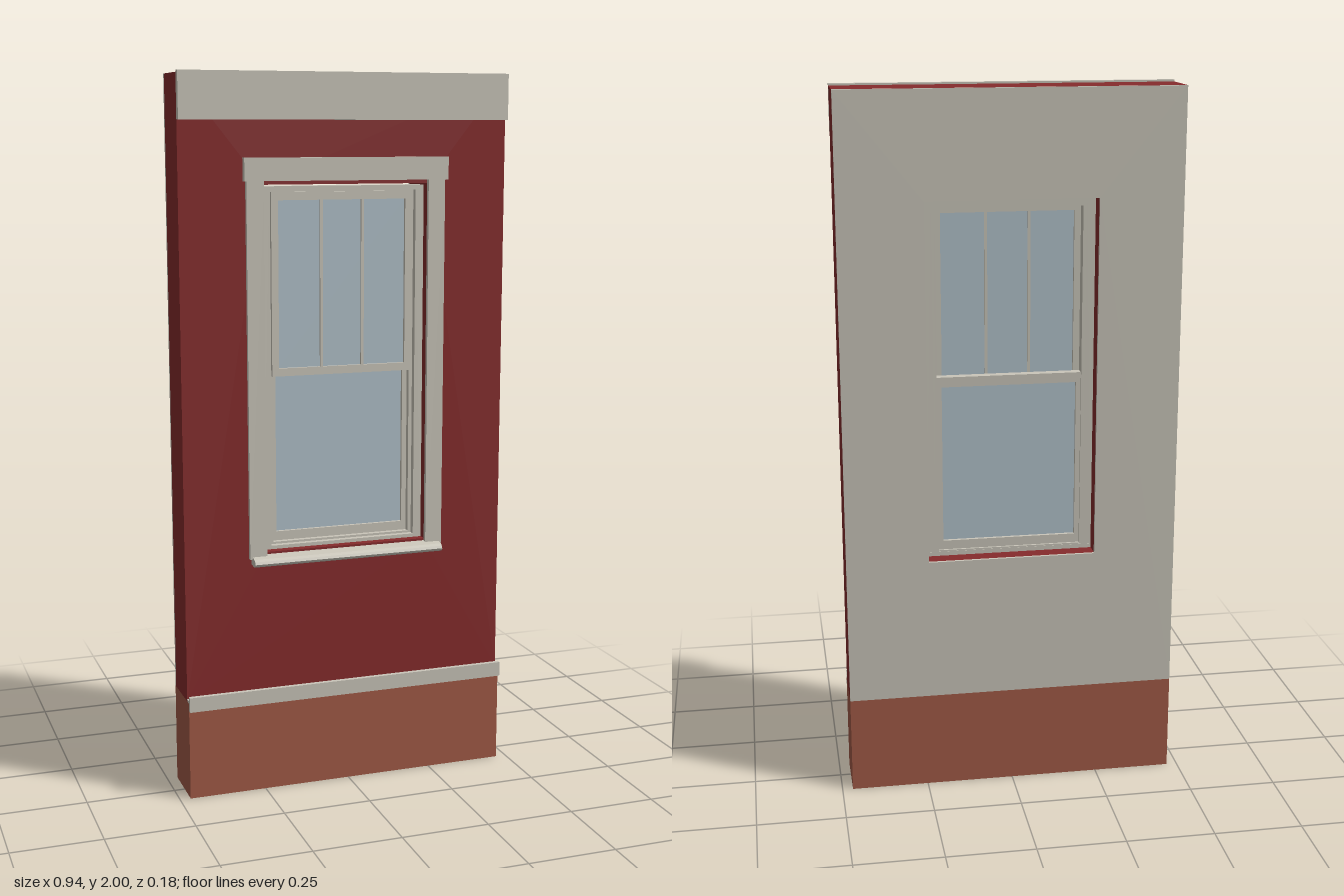
import * as THREE from 'three';

export function createModel() {
  const root = new THREE.Group();
  root.name = 'wallWithWindow';

  const material = (name, color) => {
    const m = new THREE.MeshStandardMaterial({ color });
    m.name = name;
    return m;
  };
  const red = material('red siding', 0x862b2c);
  const trim = material('beige trim', 0xcac6ba);
  const brick = material('brick', 0xa25b47);
  const glass = material('pale glass', 0xb2c2cb);

  const add = (name, geometry, mat, parent = root) => {
    const mesh = new THREE.Mesh(geometry, mat);
    mesh.name = name;
    parent.add(mesh);
    return mesh;
  };

  // Box given by its limits on each axis
  const box = (name, mat, x0, x1, y0, y1, z0, z1, parent) => {
    const g = new THREE.BoxGeometry(x1 - x0, y1 - y0, z1 - z0);
    g.translate((x0 + x1) / 2, (y0 + y1) / 2, (z0 + z1) / 2);
    return add(name, g, mat, parent);
  };

  // Rectangular panel, symmetric in x, with a rectangular hole
  const frame = (name, mat, [w, y0, y1], [hw, hy0, hy1], z0, z1, parent) => {
    const corners = (a, b, c) => [[-a, b], [a, b], [a, c], [-a, c]].map((p) => new THREE.Vector2(...p));
    const shape = new THREE.Shape(corners(w, y0, y1));
    shape.holes.push(new THREE.Path(corners(hw, hy0, hy1).reverse()));
    const g = new THREE.ExtrudeGeometry(shape, { depth: z1 - z0, bevelEnabled: false });
    g.translate(0, 0, z0);
    return add(name, g, mat, parent);
  };

  // Profile of [z, y] points swept along x
  const sweep = (name, mat, points, halfWidth, parent) => {
    const shape = new THREE.Shape(points.map(([z, y]) => new THREE.Vector2(-z, y)));
    const g = new THREE.ExtrudeGeometry(shape, { depth: halfWidth * 2, bevelEnabled: false });
    g.translate(0, 0, -halfWidth);
    g.rotateY(Math.PI / 2);
    // shape x becomes -z after the turn, so z is restored
    return add(name, g, mat, parent);
  };

  const W = 0.47;
  const opening = [0.237, 0.69, 1.703];

  // Wall layers
  box('brickBase', brick, -W, W, 0, 0.28, -0.09, 0.07);
  frame('sidingWall', red, [W, 0.28, 1.995], opening, -0.082, 0.05);
  frame('interiorLining', trim, [W, 0.28, 1.995], opening, -0.09, -0.082);

  // Horizontal bands
  box('friezeBoard', trim, -W, W, 1.874, 2, 0.05, 0.069);
  box('waterTableBoard', trim, -W, W, 0.258, 0.3, 0.07, 0.083);
  box('waterTableLedge', trim, -W, W, 0.28, 0.287, 0.05, 0.07);

  // Exterior window casing
  const casing = new THREE.Group();
  casing.name = 'windowCasing';
  root.add(casing);
  box('headCasing', trim, -0.293, 0.293, 1.713, 1.775, 0.05, 0.069, casing);
  for (const [side, s] of [['left', 1], ['right', -1]]) {
    const a = s * 0.237, b = s * 0.286;
    box(side + 'Casing', trim, Math.min(a, b), Math.max(a, b), 0.675, 1.713, 0.05, 0.062, casing);
  }
  sweep('sillNose', trim, [
    [0.05, 0.658], [0.078, 0.656], [0.087, 0.66], [0.09, 0.666],
    [0.087, 0.673], [0.078, 0.678], [0.05, 0.684],
  ], 0.279, casing);
  sweep('slopedSill', trim, [[-0.04, 0.69], [0.05, 0.676], [0.05, 0.684], [-0.04, 0.702]], 0.237, casing);

  // Stepped window frame inside the opening
  const win = new THREE.Group();
  win.name = 'window';
  root.add(win);
  frame('outerFrame', trim, [0.237, 0.69, 1.698], [0.213, 0.7, 1.684], -0.038, 0.025, win);
  frame('innerStop', trim, [0.213, 0.7, 1.684], [0.203, 0.706, 1.676], -0.038, 0.008, win);

  // Sashes: the upper one sits in front of the lower one
  const sash = (name, outer, inner, z0, z1) => {
    const g = new THREE.Group();
    g.name = name;
    win.add(g);
    frame(name + 'Frame', trim, outer, inner, z0, z1, g);
    const mid = (z0 + z1) / 2;
    box(name + 'Glass', glass, -inner[0], inner[0], inner[1], inner[2], mid - 0.003, mid + 0.003, g);
    return g;
  };
  const upper = sash('upperSash', [0.205, 1.178, 1.682], [0.185, 1.2, 1.66], -0.006, 0.018);
  sash('lowerSash', [0.207, 0.702, 1.21], [0.189, 0.732, 1.182], -0.032, -0.007);
  for (const x of [-0.06, 0.06]) {
    box('muntin', trim, x - 0.004, x + 0.004, 1.2, 1.66, -0.003, 0.015, upper);
  }

  return root;
}
